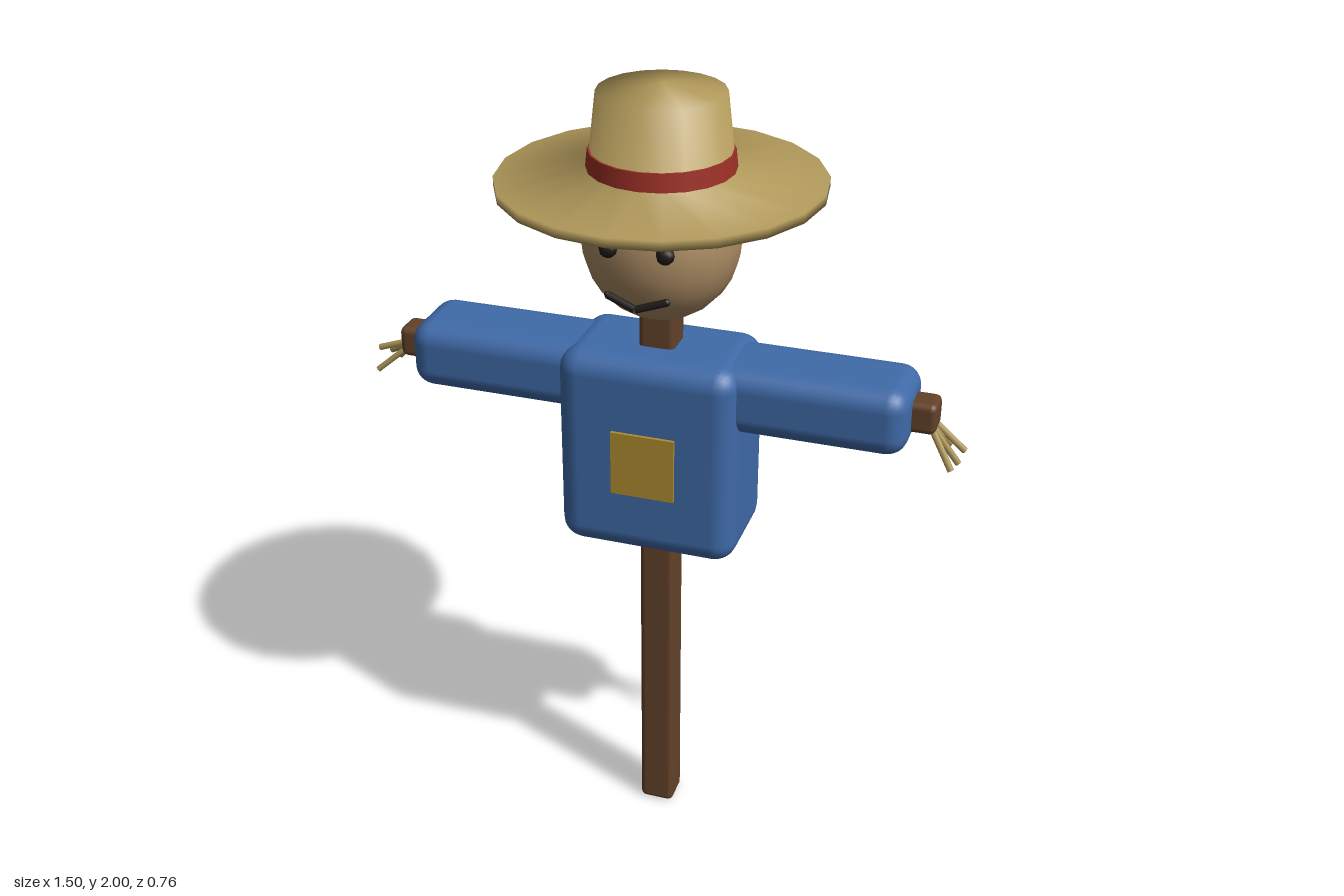
import * as THREE from 'three';
import { RoundedBoxGeometry } from 'three/addons/geometries/RoundedBoxGeometry.js';

const mat = (color, side = THREE.FrontSide) => new THREE.MeshStandardMaterial({ color, side });

export function createModel() {
  const model = new THREE.Group();
  model.name = 'scarecrow';
  model.position.x = 0.005;

  const wood = mat(0x634229);
  const cloth = mat(0x3f6aa8);
  const straw = mat(0xb0985a, THREE.DoubleSide);
  const dark = mat(0x1f1a17);

  const add = (name, geometry, material, x = 0, y = 0, z = 0) => {
    const mesh = new THREE.Mesh(geometry, material);
    mesh.name = name;
    mesh.position.set(x, y, z);
    model.add(mesh);
    return mesh;
  };

  // Wooden cross
  add('post', new RoundedBoxGeometry(0.088, 1.5, 0.088, 2, 0.014), wood, 0, 0.75, 0);
  add('crossbar', new RoundedBoxGeometry(1.344, 0.078, 0.078, 2, 0.016), wood, 0, 1.281, 0);

  // Shirt with patch
  add('torso', new RoundedBoxGeometry(0.445, 0.52, 0.286, 3, 0.055), cloth, 0, 1.11, 0);
  add('patch', new THREE.BoxGeometry(0.158, 0.166, 0.02), mat(0xb08d30), 0, 1.102, 0.141);

  // Head
  add('head', new THREE.SphereGeometry(1, 20, 14), mat(0xa98a62), 0, 1.635, 0)
    .scale.set(0.188, 0.196, 0.178);

  // Straw tips of one hand: outward x, height, depth
  const tips = {
    '-1': [[0.752, 1.18, 0.01], [0.75, 1.235, -0.005], [0.715, 1.2, -0.045], [0.725, 1.225, -0.02]],
    '1': [[0.735, 1.185, -0.025], [0.715, 1.16, 0.036], [0.725, 1.16, -0.005], [0.7, 1.195, -0.032]],
  };

  for (const s of [-1, 1]) {
    const side = s > 0 ? 'left' : 'right';
    add(side + 'Sleeve', new RoundedBoxGeometry(0.47, 0.167, 0.218, 3, 0.05), cloth, s * 0.38, 1.281, 0);
    add(side + 'Eye', new THREE.SphereGeometry(0.022, 8, 6), dark, s * 0.067, 1.667, 0.178);

    // Straw poking out of the hand
    tips[s].forEach(([x, y, z], i) => {
      const path = new THREE.LineCurve3(
        new THREE.Vector3(s * 0.64, 1.275, (i - 1.5) * 0.008),
        new THREE.Vector3(s * x, y, z));
      add(side + 'Straw', new THREE.TubeGeometry(path, 1, 0.008, 6), straw);
    });
  }

  // Mouth: two short sticks meeting in a shallow V
  for (const s of [-1, 1]) {
    const path = new THREE.LineCurve3(
      new THREE.Vector3(s * 0.07, 1.553, 0.176), new THREE.Vector3(0, 1.532, 0.19));
    add('mouth', new THREE.TubeGeometry(path, 1, 0.009, 6), dark);
    add('mouthEnd', new THREE.SphereGeometry(0.009, 6, 4), dark, s * 0.07, 1.553, 0.176);
  }

  // Hat: brim underside, rim, brim top, crown, peak
  const profile = [[0.163, 1.79], [0.382, 1.757], [0.382, 1.78], [0.168, 1.805], [0.148, 1.98], [0, 2]]
    .map(([r, y]) => new THREE.Vector2(r, y));
  add('hat', new THREE.LatheGeometry(profile, 20), straw);
  add('hatBand', new THREE.CylinderGeometry(0.168, 0.173, 0.046, 20), mat(0x9c3026), 0, 1.824, 0);

  return model;
}
